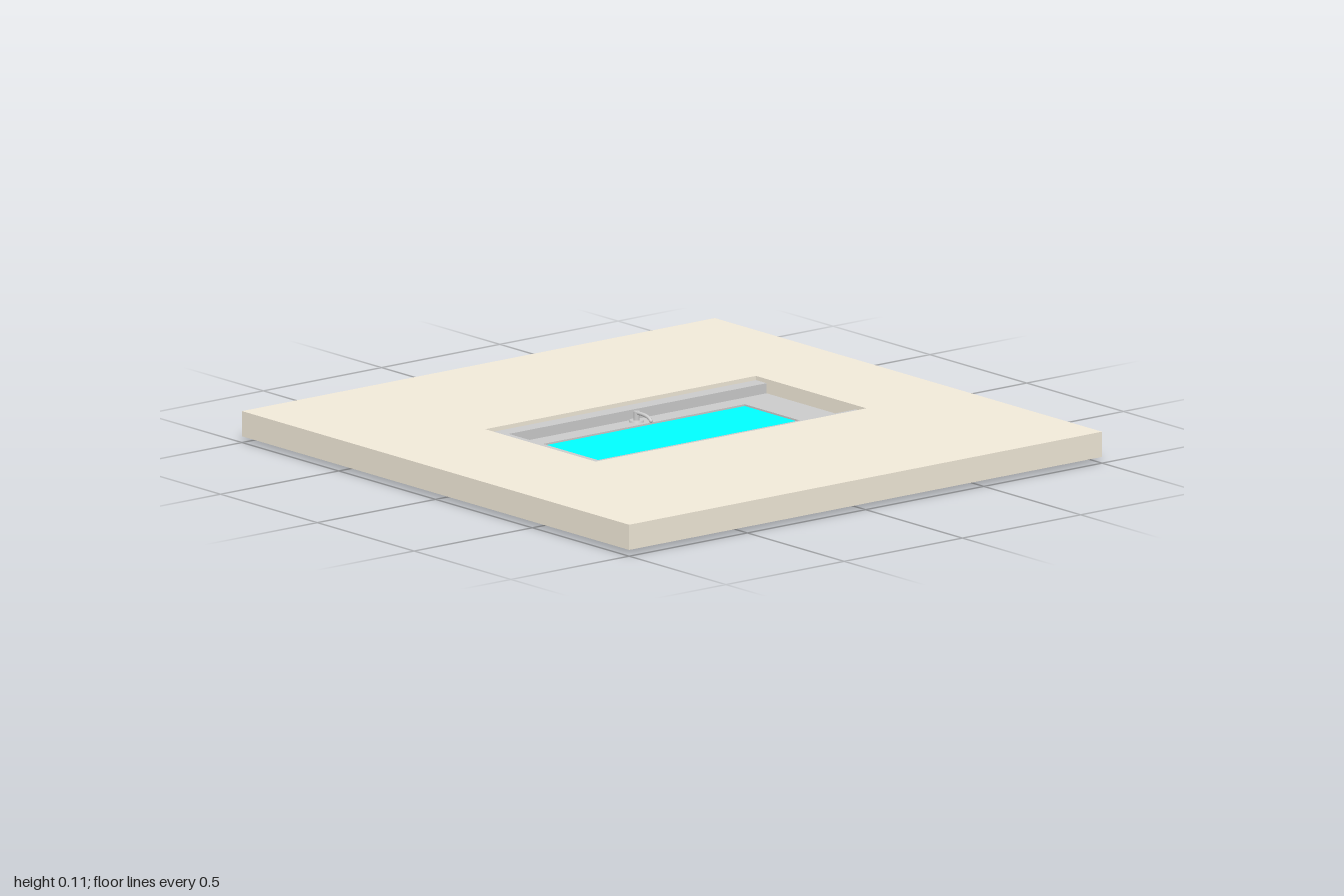
import * as THREE from 'three';

const grey = new THREE.MeshStandardMaterial({ color: 0xcccccc });
const plaster = new THREE.MeshStandardMaterial({ color: 0xf2ead9 });
const cyan = new THREE.MeshStandardMaterial({ color: 0x00ffff });

function rectPath(Type, [x0, x1, z0, z1]) {
  return new Type([[x0, z0], [x1, z0], [x1, z1], [x0, z1]].map(p => new THREE.Vector2(...p)));
}

// Flat slab drawn in x/z and extruded between two heights
function slab(name, shape, y0, y1, material) {
  const geometry = new THREE.ExtrudeGeometry(shape, { depth: y1 - y0, bevelEnabled: false });
  geometry.rotateX(Math.PI / 2).translate(0, y1, 0);
  const mesh = new THREE.Mesh(geometry, material);
  mesh.name = name;
  return mesh;
}

function rectSlab(name, rect, y0, y1, material, hole) {
  const shape = rectPath(THREE.Shape, rect);
  if (hole) shape.holes.push(rectPath(THREE.Path, hole));
  return slab(name, shape, y0, y1, material);
}

// Lever handle standing on y = 0, lever pointing to +x
function handle(name) {
  const group = new THREE.Group();
  group.name = name;
  const add = (part, geometry) => {
    const mesh = new THREE.Mesh(geometry, grey);
    mesh.name = part;
    group.add(mesh);
  };
  add('rose', new THREE.CylinderGeometry(0.023, 0.025, 0.006, 32).translate(0, 0.003, 0));
  add('neck', new THREE.CylinderGeometry(0.01, 0.01, 0.036, 20).translate(0, 0.018, 0));
  // Lever curls back towards the door at its tip
  const curve = new THREE.CatmullRomCurve3([
    [0, 0.03], [0.025, 0.031], [0.05, 0.029], [0.066, 0.024], [0.075, 0.017],
  ].map(([x, y]) => new THREE.Vector3(x, y, 0)));
  add('lever', new THREE.TubeGeometry(curve, 24, 0.006, 12));
  const cap = new THREE.SphereGeometry(0.006, 12, 8).translate(0.075, 0.017, 0);
  add('leverTip', cap);
  return group;
}

export function createModel() {
  const model = new THREE.Group();
  model.name = 'doorInWall';

  const opening = [-0.305, 0.265, -0.605, 0.54];
  const doorRect = [-0.25, 0.21, -0.605, 0.485];
  const glassRect = [-0.18, 0.14, -0.455, 0.405];

  // Wall with the doorway cut out
  model.add(rectSlab('wall', [-1, 1, -1, 1], 0.02, 0.105, plaster, opening));

  // Three-sided frame, open at the threshold
  const [ox0, ox1, z0, oz1] = opening;
  const [dx0, dx1, , dz1] = doorRect;
  const frame = new THREE.Shape([
    [ox0, z0], [dx0, z0], [dx0, dz1], [dx1, dz1], [dx1, z0], [ox1, z0], [ox1, oz1], [ox0, oz1],
  ].map(p => new THREE.Vector2(...p)));
  model.add(slab('doorFrame', frame, 0.033, 0.091, grey));

  // Door leaf and its pane
  model.add(rectSlab('doorLeaf', doorRect, 0.036, 0.057, grey, glassRect));
  model.add(rectSlab('glassPane', glassRect, 0.042, 0.051, cyan));

  // A lever handle on each face
  const upper = handle('upperHandle');
  upper.position.set(-0.22, 0.057, -0.03);
  const lower = handle('lowerHandle');
  lower.position.set(-0.22, 0.036, -0.03);
  lower.rotation.x = Math.PI;
  model.add(upper, lower);

  return model;
}
